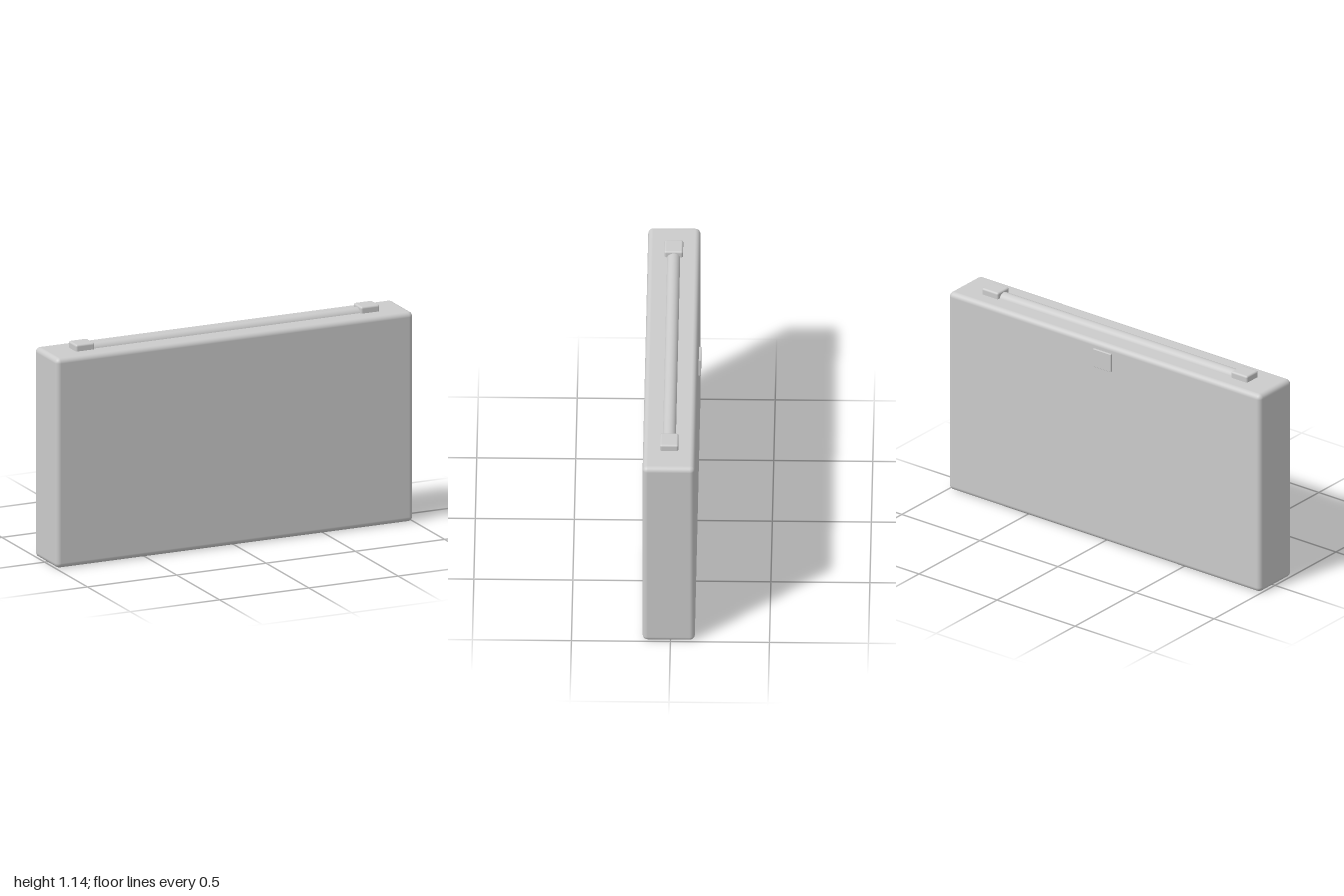
import * as THREE from 'three';
import { RoundedBoxGeometry } from 'three/addons/geometries/RoundedBoxGeometry.js';

export function createModel() {
  const group = new THREE.Group();
  const material = new THREE.MeshStandardMaterial({ color: 0xcccccc });
  const midZ = 0.009; // centre plane of the case

  const add = (name, geometry, x, y, z) => {
    const mesh = new THREE.Mesh(geometry, material);
    mesh.name = name;
    mesh.position.set(x, y, z);
    group.add(mesh);
    return mesh;
  };
  const roundedBox = (w, h, d, r) => new RoundedBoxGeometry(w, h, d, 4, r);

  // Slim case with softened edges
  add('caseBody', roundedBox(2, 1.102, 0.264, 0.026), 0, 0.551, midZ);

  // Handle bar, half sunk into the top
  const bar = add('handleBar', new THREE.CylinderGeometry(0.035, 0.035, 1.56, 24), 0, 1.091, midZ);
  bar.rotation.z = Math.PI / 2;

  // Mounts at both ends of the handle
  for (const [name, side] of [['leftHandleMount', 1], ['rightHandleMount', -1]]) {
    add(name, roundedBox(0.105, 0.07, 0.094, 0.01), side * 0.798, 1.101, midZ);
  }

  // Small square plate standing just off the back
  add('backPlate', roundedBox(0.115, 0.1, 0.012, 0.003), 0, 1.017, -0.135);

  return group;
}
